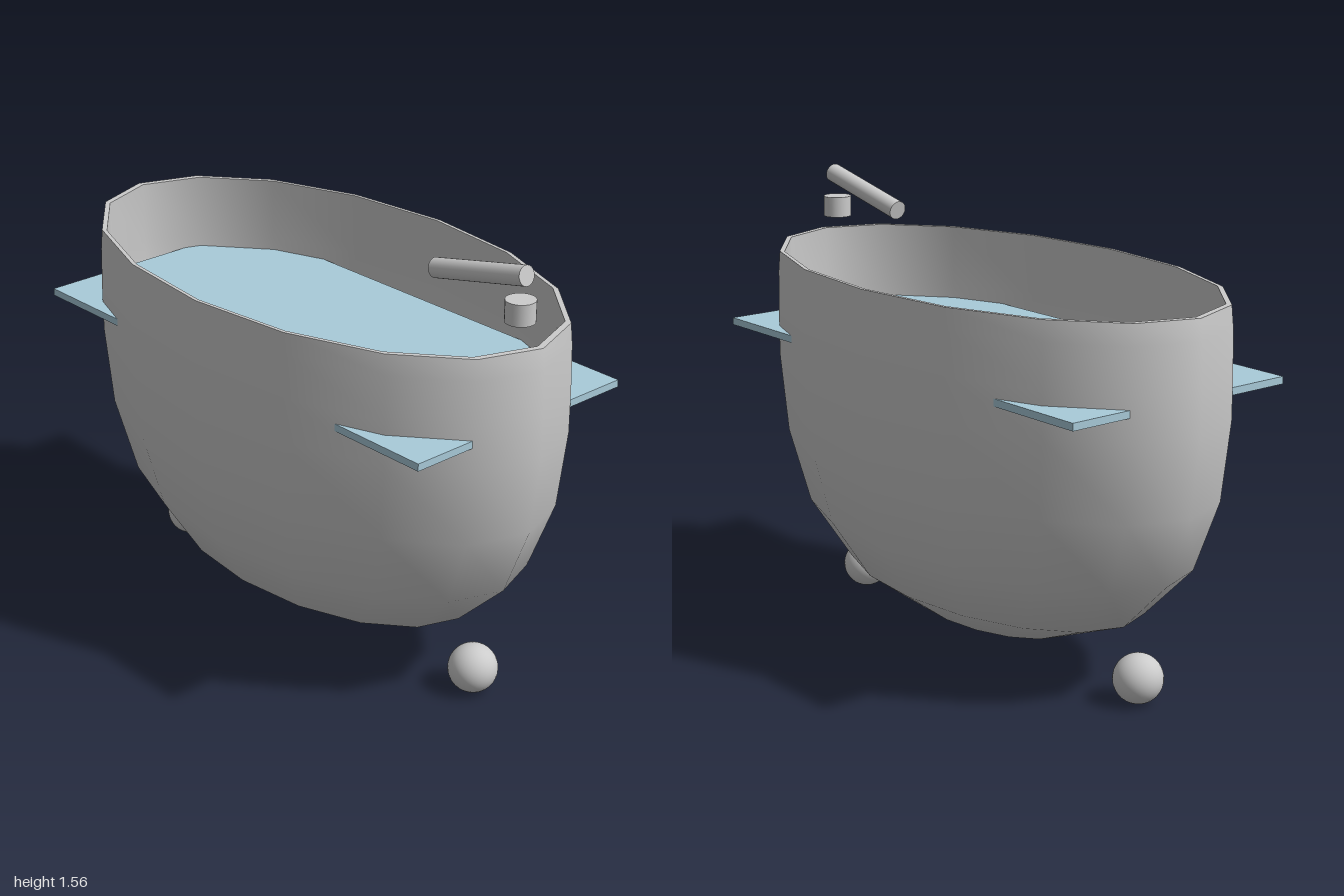
import * as THREE from 'three';
import { toCreasedNormals } from 'three/addons/utils/BufferGeometryUtils.js';

export function createModel() {
  const model = new THREE.Group();
  const grey = new THREE.MeshStandardMaterial({ color: 0xcccccc });
  const shell = new THREE.MeshStandardMaterial({ color: 0xcccccc, side: THREE.DoubleSide });
  const blue = new THREE.MeshStandardMaterial({ color: 0xa9cbda });

  function add(name, geometry, material, x, y, z) {
    const mesh = new THREE.Mesh(geometry, material);
    mesh.name = name;
    mesh.position.set(x, y, z);
    model.add(mesh);
    return mesh;
  }

  // Oval tub: 16-sided bowl with a thin wall, squeezed front to back
  const profile = [
    [0, 0.08], [0.37, 0.12], [0.67, 0.24], [0.865, 0.43], [0.965, 0.68],
    [1, 0.95], [1, 1.1], [0.996, 1.25], [0.988, 1.32],
    [0.965, 1.32], [0.968, 1.1], [0.965, 0.95], [0.93, 0.69],
    [0.835, 0.46], [0.65, 0.28], [0.36, 0.16], [0, 0.12],
  ].map(([r, y]) => new THREE.Vector2(r, y));
  const tub = new THREE.LatheGeometry(profile, 16);
  tub.scale(1, 1, 0.547);
  add('tub', toCreasedNormals(tub, 0.8), shell, 0, 0, 0);

  // Water slab, its corners reaching through the wall
  add('water', new THREE.BoxGeometry(1.83, 0.025, 0.89), blue, 0, 1.0425, 0);

  // Ball feet
  for (const side of [-1, 1]) {
    add(side > 0 ? 'leftFoot' : 'rightFoot', new THREE.SphereGeometry(0.084, 32, 20), grey, side * 0.742, 0.086, 0);
  }

  // Tap: short base and sloping spout
  add('tapBase', new THREE.CylinderGeometry(0.049, 0.049, 0.072, 24), grey, 0.889, 1.413, 0);
  const spout = add('tapSpout', new THREE.CylinderGeometry(0.033, 0.033, 0.393, 24), grey, 0.717, 1.487, 0);
  spout.rotation.z = -Math.PI / 2 + 0.224;

  return model;
}
